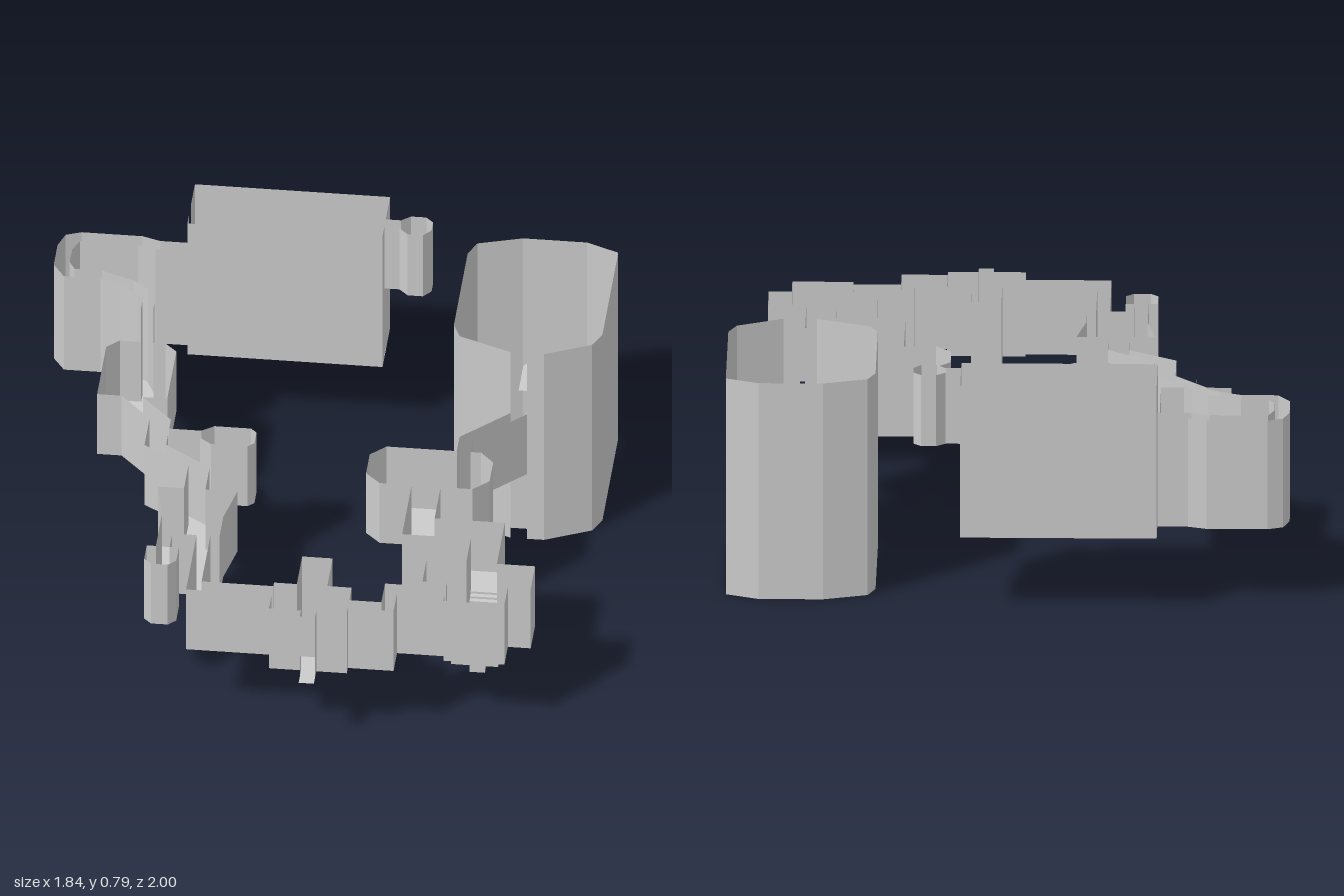
import * as THREE from 'three';

const FLOOR = 0.26, TOP = 0.5;

export function createModel() {
  const model = new THREE.Group();
  const mat = new THREE.MeshStandardMaterial({ color: 0xcccccc, flatShading: true, side: THREE.DoubleSide });
  const add = (name, geo, parent = model) => {
    const mesh = new THREE.Mesh(geo, mat);
    mesh.name = name;
    parent.add(mesh);
    return mesh;
  };

  // Thin upright wall following a plan path of [x, z] points
  const wallGeo = (path, y0, y1) => {
    const pos = [];
    for (let i = 0; i + 1 < path.length; i++) {
      const [ax, az] = path[i], [bx, bz] = path[i + 1];
      pos.push(ax, y0, az, bx, y0, bz, bx, y1, bz, ax, y0, az, bx, y1, bz, ax, y1, az);
    }
    const geo = new THREE.BufferGeometry();
    geo.setAttribute('position', new THREE.Float32BufferAttribute(pos, 3));
    geo.computeVertexNormals();
    return geo;
  };
  const floorGeo = (outline, y, holes = []) => {
    const flat = pts => pts.map(([x, z]) => new THREE.Vector2(x, -z));
    const shape = new THREE.Shape(flat(outline));
    holes.forEach(h => shape.holes.push(new THREE.Path(flat(h))));
    return new THREE.ShapeGeometry(shape).rotateX(-Math.PI / 2).translate(0, y, 0);
  };
  // A space is a loop of wall runs; the gaps between runs are its doorways
  const space = (name, runs, { y0 = FLOOR, y1 = TOP, holes = [] } = {}) => {
    const g = new THREE.Group();
    g.name = name;
    runs.forEach(r => add('wall', wallGeo(r, y0, y1), g));
    add('floor', floorGeo(runs.flat(), y0, holes), g);
    model.add(g);
  };
  const rect = (x0, x1, z0, z1) => [[x0, z0], [x1, z0], [x1, z1], [x0, z1]];
  const closed = pts => [...pts, pts[0]];
  const pit = (r, bottom) => space('floorPit', [closed(r)], { y0: bottom, y1: FLOOR });
  const box = (name, x0, x1, y0, y1, z0, z1) =>
    add(name, new THREE.BoxGeometry(x1 - x0, y1 - y0, z1 - z0)
      .translate((x0 + x1) / 2, (y0 + y1) / 2, (z0 + z1) / 2));

  // Tall back hall with end ledges and stepping pillars
  space('tallHall', [
    [[-0.49, -0.88], [-0.49, -1], [0.15, -1], [0.15, -0.875]],
    [[0.15, -0.83], [0.15, -0.78], [-0.49, -0.78], [-0.49, -0.83]],
  ], { y1: 0.785 });
  box('rightLedge', 0.07, 0.149, FLOOR, 0.54, -0.999, -0.781);
  box('leftLedge', -0.489, -0.39, FLOOR, 0.3, -0.999, -0.781);
  for (const [x, z] of [[-0.26, -0.87], [-0.12, -0.945], [-0.04, -0.83]])
    box('steppingPillar', x - 0.025, x + 0.025, FLOOR, 0.5, z - 0.025, z + 0.025);

  // Raised closet beside the hall
  space('raisedCloset', [[
    [0.15, -0.875], [0.2, -0.875], [0.23, -0.9], [0.28, -0.9], [0.305, -0.875],
    [0.305, -0.83], [0.28, -0.8], [0.23, -0.8], [0.2, -0.83], [0.15, -0.83],
  ]], { y0: 0.54, y1: 0.785 });

  // Winding corridor
  space('windingCorridor', [
    [[-0.49, -0.88], [-0.59, -0.88], [-0.65, -0.9], [-0.85, -0.9], [-0.9, -0.88], [-0.92, -0.82],
      [-0.92, -0.71], [-0.88, -0.65], [-0.76, -0.65], [-0.69, -0.62], [-0.63, -0.58], [-0.61, -0.54], [-0.61, -0.5]],
    [[-0.57, -0.5], [-0.57, -0.54], [-0.6, -0.61], [-0.65, -0.65], [-0.76, -0.695], [-0.85, -0.695],
      [-0.87, -0.73], [-0.87, -0.8], [-0.85, -0.85], [-0.66, -0.85], [-0.6, -0.83], [-0.49, -0.83]],
  ], { y1: 0.635 });

  // Left room with a pit
  const leftPit = rect(-0.615, -0.56, -0.42, -0.37);
  space('leftRoom', [
    [[-0.57, -0.5], [-0.53, -0.5], [-0.49, -0.46], [-0.49, -0.195], [-0.57, -0.195]],
    [[-0.64, -0.195], [-0.72, -0.195], [-0.72, -0.46], [-0.68, -0.5], [-0.61, -0.5]],
  ], { holes: [leftPit] });
  pit(leftPit, 0.21);

  // Left corridor and its side chamber
  space('leftCorridor', [
    [[-0.57, -0.195], [-0.465, -0.08], [-0.465, -0.03]],
    [[-0.465, 0.01], [-0.465, 0.06], [-0.31, 0.17], [-0.31, 0.295]],
    [[-0.38, 0.295], [-0.38, 0.17], [-0.535, 0.07], [-0.535, -0.08], [-0.64, -0.195]],
  ]);
  space('sideChamber', [[
    [-0.465, -0.03], [-0.36, -0.03], [-0.32, -0.06], [-0.2, -0.06], [-0.18, -0.04],
    [-0.18, 0.02], [-0.2, 0.04], [-0.32, 0.04], [-0.36, 0.01], [-0.465, 0.01],
  ]]);

  // Tapered room with a closet below it
  space('taperedRoom', [
    [[-0.31, 0.295], [-0.205, 0.295], [-0.235, 0.44], [-0.235, 0.55], [-0.265, 0.55]],
    [[-0.31, 0.55], [-0.39, 0.55]],
    [[-0.435, 0.55], [-0.435, 0.44], [-0.465, 0.295], [-0.38, 0.295]],
  ]);
  space('frontCloset', [[
    [-0.39, 0.55], [-0.39, 0.625], [-0.36, 0.625], [-0.36, 0.7], [-0.385, 0.725],
    [-0.44, 0.725], [-0.465, 0.7], [-0.465, 0.625], [-0.435, 0.625], [-0.435, 0.55],
  ]]);
  space('frontCorridor', [
    [[-0.31, 0.55], [-0.31, 0.855], [-0.03, 0.855]],
    [[-0.03, 0.805], [-0.265, 0.805], [-0.265, 0.55]],
  ]);

  // Front room, its sunken alcove and its small entrance
  space('frontRoom', [
    [[-0.03, 0.805], [-0.03, 0.785], [0.045, 0.785]],
    [[0.145, 0.785], [0.225, 0.785], [0.225, 0.855]],
    [[0.225, 0.9], [0.225, 0.93], [0.125, 0.93]],
    [[0.075, 0.93], [-0.03, 0.93], [-0.03, 0.855]],
  ]);
  space('sunkenAlcove', [[[0.045, 0.785], [0.045, 0.63], [0.145, 0.63], [0.145, 0.785]]], { y0: 0.22 });
  add('alcoveRiser', wallGeo([[0.045, 0.785], [0.145, 0.785]], 0.22, FLOOR));
  box('alcoveStep', 0.07, 0.12, 0.22, 0.24, 0.7, 0.784);
  space('entrancePorch', [
    [[0.075, 0.963], [0.075, 0.93]],
    [[0.125, 0.93], [0.125, 0.963]],
  ]);
  add('entranceLintel', wallGeo([[0.075, 0.963], [0.125, 0.963]], 0.34, TOP));
  add('doorstep', floorGeo(rect(0.075, 0.125, 0.963, 1), FLOOR));

  // Corridor to the cross-shaped room
  space('bentCorridor', [
    [[0.225, 0.9], [0.375, 0.9], [0.375, 0.8], [0.53, 0.8]],
    [[0.53, 0.75], [0.33, 0.75], [0.33, 0.855], [0.225, 0.855]],
  ]);
  const crossPit = rect(0.605, 0.655, 0.675, 0.725);
  space('crossRoom', [
    [[0.68, 0.6], [0.805, 0.6], [0.805, 0.725], [0.73, 0.725], [0.73, 0.825], [0.53, 0.825], [0.53, 0.8]],
    [[0.53, 0.75], [0.53, 0.725], [0.45, 0.725], [0.45, 0.6], [0.58, 0.6]],
  ], { holes: [crossPit] });
  pit(crossPit, 0.15);
  add('pitRim', floorGeo(rect(0.55, 0.705, 0.64, 0.785), 0.22, [crossPit]));
  add('pitRimWall', wallGeo(closed(rect(0.55, 0.705, 0.64, 0.785)), 0.22, FLOOR));

  // Stair corridor: low steps up to the corner landing from both ends
  space('stairCorridor', [
    [[0.68, 0.6], [0.68, 0.37], [0.45, 0.37], [0.45, 0.2]],
    [[0.355, 0.2], [0.355, 0.47], [0.58, 0.47], [0.58, 0.6]],
  ]);
  for (let i = 0; i < 5; i++) {
    const h = FLOOR + 0.008 * (i + 1), x = 0.5 + i * 0.016, z = 0.55 - i * 0.016;
    box('sideStep', x, x + 0.016, FLOOR, h, 0.371, 0.469);
    box('frontStep', 0.581, 0.679, FLOOR, h, z - 0.016, z);
  }
  box('landing', 0.58, 0.679, FLOOR, 0.3, 0.371, 0.47);

  // Wide room and the corridor to the chasm
  space('wideRoom', [
    [[0.525, -0.01], [0.56, -0.01], [0.605, 0.04], [0.605, 0.145], [0.555, 0.195], [0.45, 0.195]],
    [[0.355, 0.195], [0.25, 0.195], [0.2, 0.145], [0.2, 0.04], [0.25, -0.01], [0.48, -0.01]],
  ]);
  space('chasmCorridor', [
    [[0.48, -0.01], [0.48, -0.09], [0.63, -0.24]],
    [[0.685, -0.24], [0.525, -0.08], [0.525, -0.01]],
  ]);

  // Tall open chasm walls with a slit doorway
  add('chasmWall', wallGeo([
    [0.685, -0.24], [0.74, -0.24], [0.89, -0.31], [0.917, -0.37], [0.917, -0.83], [0.81, -0.875],
    [0.6, -0.875], [0.455, -0.83], [0.43, -0.77], [0.43, -0.37], [0.455, -0.31], [0.63, -0.24],
  ], 0, 0.745));
  add('wallUnderDoor', wallGeo([[0.63, -0.24], [0.685, -0.24]], 0.04, FLOOR));

  // Platforms and bridge inside the chasm
  add('nearPlatform', floorGeo([
    [0.555, -0.4], [0.605, -0.445], [0.73, -0.445], [0.78, -0.4],
    [0.78, -0.305], [0.72, -0.24], [0.61, -0.24], [0.555, -0.295],
  ], FLOOR));
  add('bridge', floorGeo(rect(0.645, 0.695, -0.7, -0.445), FLOOR));
  add('farPlatform', floorGeo([
    [0.605, -0.7], [0.605, -0.84], [0.64, -0.875], [0.7, -0.875], [0.735, -0.84], [0.735, -0.7],
  ], FLOOR));

  return model;
}
